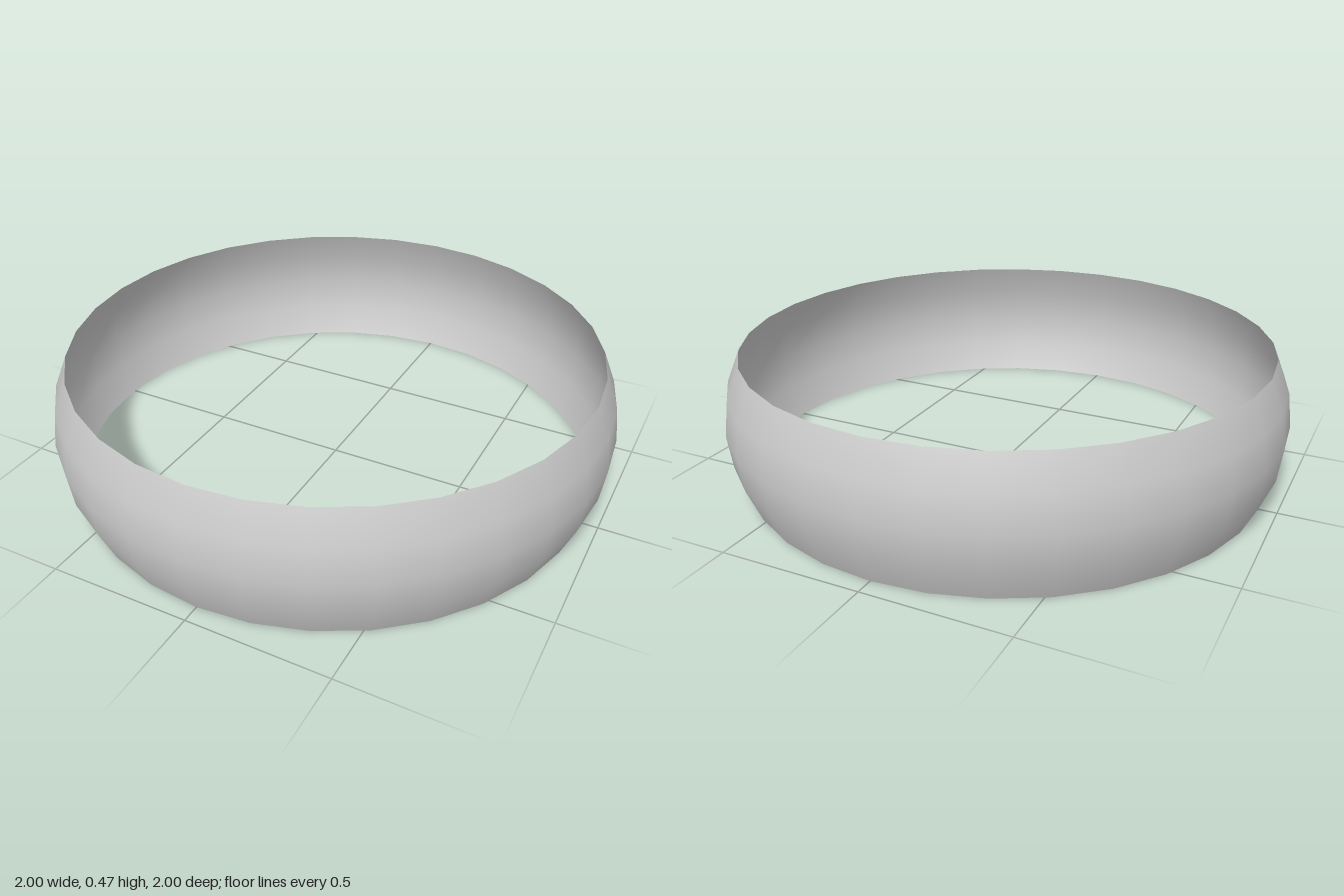
import * as THREE from 'three';

export function createModel() {
  const group = new THREE.Group();
  group.name = 'ring';

  // Bulging profile: a shallow circular arc, from the bottom rim to the top rim
  const halfHeight = 0.235, rimRadius = 0.937, outerRadius = 1;
  const bulge = outerRadius - rimRadius;
  const arcRadius = (halfHeight ** 2 + bulge ** 2) / (2 * bulge);
  const halfAngle = Math.asin(halfHeight / arcRadius);
  const profile = [];
  for (let i = -2; i <= 2; i++) {
    const a = (halfAngle * i) / 2;
    profile.push(new THREE.Vector2(
      outerRadius - arcRadius * (1 - Math.cos(a)),
      halfHeight + arcRadius * Math.sin(a)
    ));
  }

  // Thin open band
  const band = new THREE.Mesh(
    new THREE.LatheGeometry(profile, 32),
    new THREE.MeshStandardMaterial({ color: 0xcccccc, side: THREE.DoubleSide })
  );
  band.name = 'band';
  group.add(band);
  return group;
}
